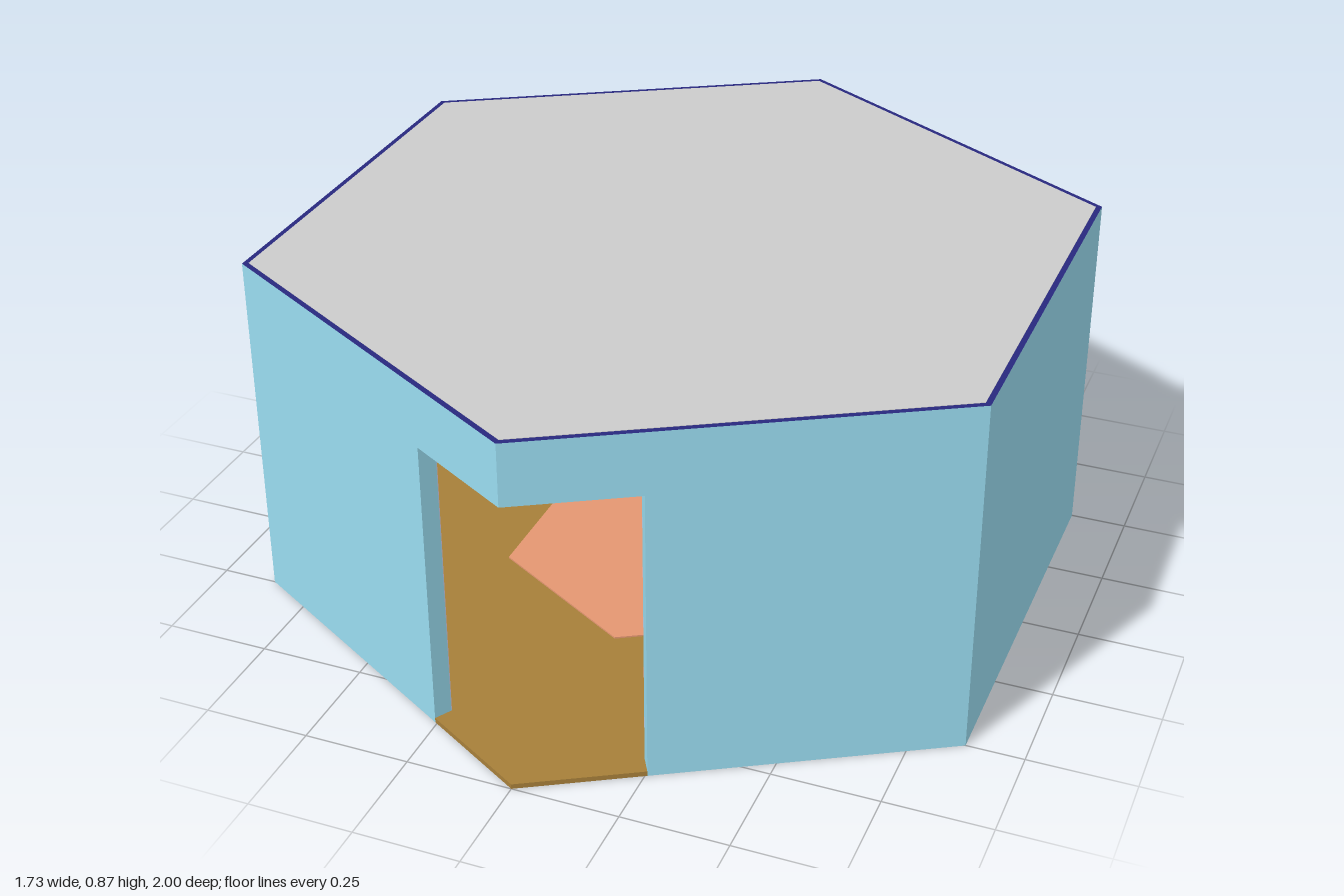
import * as THREE from 'three';

const HEIGHT = 0.865, INNER = 0.95, DOOR_TOP = 0.71;

const paint = (color) => new THREE.MeshStandardMaterial({ color, flatShading: true });

// Plan points are [x, z]; corner 0 is the front corner at +z.
const hexagon = (r) => Array.from({ length: 6 }, (_, i) => {
  const a = (i * Math.PI) / 3;
  return [r * Math.sin(a), r * Math.cos(a)];
});
const toPath = (points) => points.map(([x, z]) => new THREE.Vector2(x, -z));
const mirror = ([x, z]) => [-x, z];

// Upright prism over a plan outline, with an optional hole.
function prism(points, y0, y1, hole) {
  const shape = new THREE.Shape(toPath(points));
  if (hole) shape.holes.push(new THREE.Path(toPath(hole)));
  const geo = new THREE.ExtrudeGeometry(shape, { depth: y1 - y0, bevelEnabled: false });
  return geo.rotateX(-Math.PI / 2).translate(0, y0, 0);
}

// Door edge on the front-left wall, at inner radius r, cut square to the wall.
function doorEdge(r) {
  const t = (1 - r) * Math.cos(Math.PI / 6);
  const x = 0.255, z = 1 - x / Math.sqrt(3);
  return [x - t * 0.5, z - t * Math.cos(Math.PI / 6)];
}

// C-shaped ring that leaves the doorway open.
function openRing(rOut, rIn) {
  const a = doorEdge(rOut), b = doorEdge(rIn);
  return [
    a, ...hexagon(rOut).slice(1), mirror(a),
    mirror(b), ...hexagon(rIn).slice(1).reverse(), b,
  ];
}

// V-shaped piece above the doorway.
function doorHead(rOut, rIn) {
  const a = doorEdge(rOut), b = doorEdge(rIn);
  return [a, [0, rOut], mirror(a), mirror(b), [0, rIn], b];
}

export function createModel() {
  const group = new THREE.Group();
  const blue = paint(0x9adcf0), navy = paint(0x28287e), mauve = paint(0xd8cce2);
  const add = (name, geometry, material) => {
    const mesh = new THREE.Mesh(geometry, material);
    mesh.name = name;
    group.add(mesh);
  };

  // Walls with dark end faces, and the lintel closing the ring over the door
  const rimY = HEIGHT - 0.002;
  add('walls', prism(openRing(1, INNER), 0, rimY), [navy, blue]);
  const lintel = prism(doorHead(1, INNER), DOOR_TOP + 0.005, rimY);
  const pos = lintel.attributes.position;
  for (let i = 0; i < pos.count; i++) {
    // the underside drops slightly towards the room
    const inner = Math.abs(pos.getX(i)) / Math.sqrt(3) + pos.getZ(i) < 0.975;
    if (inner && pos.getY(i) < 0.75) pos.setY(i, DOOR_TOP - 0.005);
  }
  lintel.computeVertexNormals();
  add('lintel', lintel, blue);
  add('wallTopRim', prism(hexagon(1), rimY, HEIGHT - 0.001, hexagon(INNER)), [navy, blue]);

  // Painted lining of the room
  add('wallLining', prism(openRing(INNER, INNER - 0.002), 0.005, rimY), mauve);
  add('lintelLining', prism(doorHead(INNER, INNER - 0.002), DOOR_TOP - 0.005, rimY), mauve);

  // Floor running out through the doorway to the front corner
  const sill = [doorEdge(INNER), doorEdge(1)];
  const floor = [
    ...sill.map(mirror), [0, 1], ...sill.slice().reverse(),
    ...hexagon(INNER).slice(1),
  ];
  add('floor', prism(floor, 0, 0.012), paint(0xa67f39));
  add('rug', prism(hexagon(0.43), 0.012, 0.016), paint(0xe49771));

  // Flat roof, just short of the wall edge
  add('roof', prism(hexagon(0.985), HEIGHT - 0.012, HEIGHT), paint(0xcccccc));
  return group;
}
